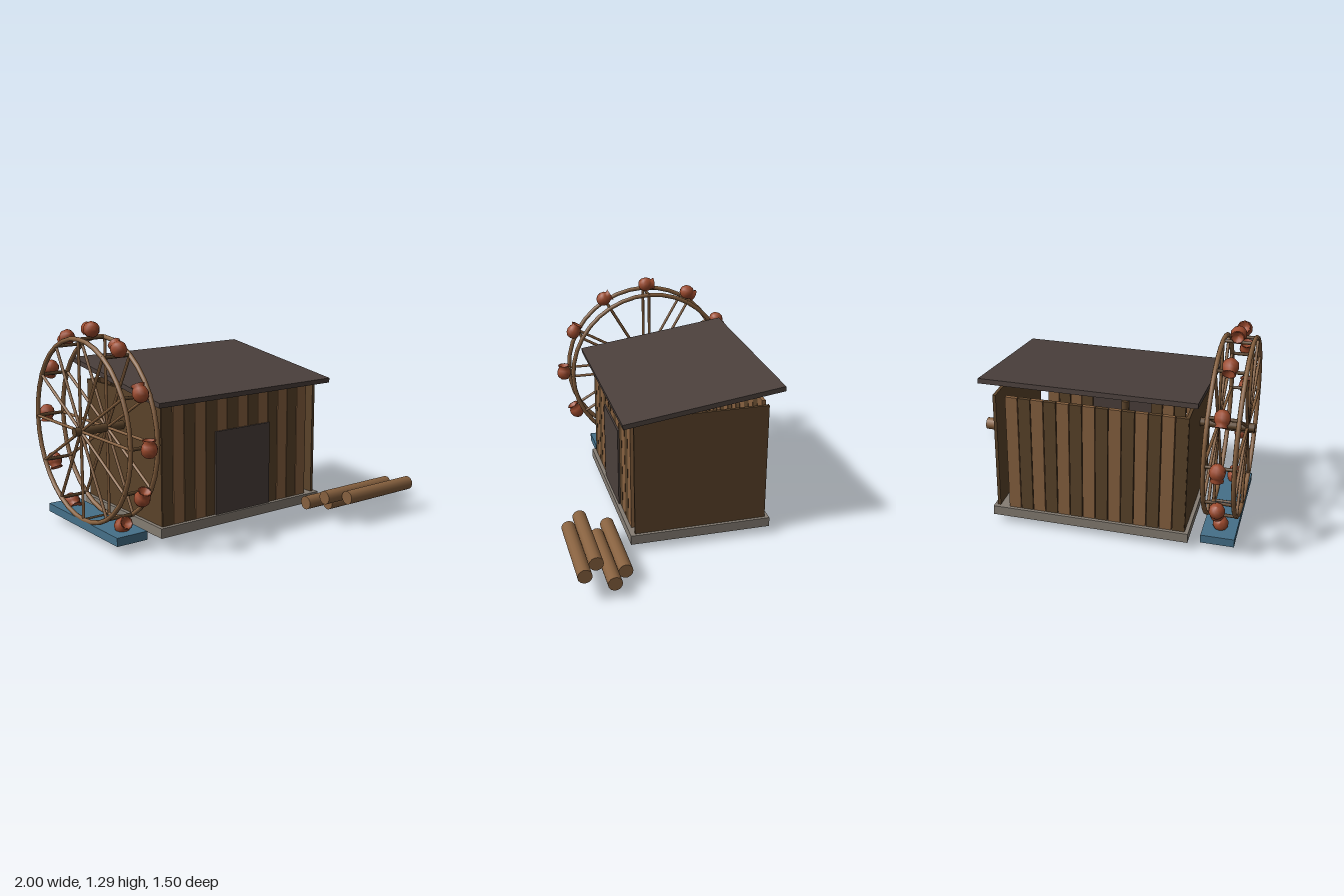
import * as THREE from 'three';

const mat = (name, color, side = THREE.FrontSide) => {
  const m = new THREE.MeshStandardMaterial({ color, side });
  m.name = name;
  return m;
};

export function createModel() {
  const wood = mat('light wood', 0x87613f);
  const darkWood = mat('dark wood', 0x5b432a);
  const slate = mat('roof brown', 0x4b403c);
  const stone = mat('stone', 0x857d73);
  const water = mat('water blue', 0x457089);
  const clay = mat('clay', 0x9c4a2d, THREE.DoubleSide);

  const model = new THREE.Group();
  model.name = 'waterMill';

  const add = (parent, name, geometry, material, x = 0, y = 0, z = 0) => {
    const mesh = new THREE.Mesh(geometry, material);
    mesh.name = name;
    mesh.position.set(x, y, z);
    parent.add(mesh);
    return mesh;
  };
  // Box given by its lower and upper limits
  const box = (parent, name, material, [x0, x1], [y0, y1], [z0, z1]) =>
    add(parent, name, new THREE.BoxGeometry(x1 - x0, y1 - y0, z1 - z0), material,
      (x0 + x1) / 2, (y0 + y1) / 2, (z0 + z1) / 2);
  // Cylinder lying along x
  const rod = (parent, name, material, radius, x0, x1, y, z, sides = 12) => {
    const geometry = new THREE.CylinderGeometry(radius, radius, x1 - x0, sides).rotateZ(Math.PI / 2);
    return add(parent, name, geometry, material, (x0 + x1) / 2, y, z);
  };

  // Hut: foundation, side walls, door and roof
  const hut = new THREE.Group();
  hut.name = 'hut';
  model.add(hut);
  box(hut, 'foundation', stone, [-0.69, 0.545], [0.05, 0.11], [-0.546, 0.342]);
  box(hut, 'rightWall', darkWood, [-0.667, -0.648], [0.11, 0.87], [-0.52, 0.312]);
  box(hut, 'leftWall', darkWood, [0.506, 0.525], [0.11, 0.87], [-0.52, 0.312]);
  box(hut, 'door', slate, [-0.28, 0.137], [0.11, 0.63], [0.312, 0.328]);
  const roof = add(hut, 'roof', new THREE.BoxGeometry(1.305, 0.03, 0.995), slate, -0.072, 0.923, -0.105);
  roof.rotation.x = 0.138;

  // Planks of the front and back walls, in alternating tones
  for (let i = 0; i < 14; i++) {
    const x = -0.626 + i * 0.0795;
    const tone = i % 2 ? wood : darkWood;
    const span = [x - 0.0375, x + 0.0375];
    const overDoor = i >= 5 && i <= 9;
    box(hut, 'frontPlank', tone, span, [overDoor ? 0.62 : 0.11, 0.86], [0.292, 0.317]);
    box(hut, 'backPlank', tone, span, [0.11, 0.87], [-0.525, -0.5]);
  }

  // Post inside the hut
  add(hut, 'millPost', new THREE.CylinderGeometry(0.025, 0.025, 0.62, 10), darkWood, -0.19, 0.42, -0.1);

  // Water wheel, built around its axle
  const wheel = new THREE.Group();
  wheel.name = 'waterWheel';
  wheel.position.set(-0.865, 0.648, -0.103);
  model.add(wheel);
  const ringRadius = 0.547;
  const ringX = 0.089;
  rod(wheel, 'axle', darkWood, 0.027, -0.135, 0.27, 0, 0);

  const ringGeometry = new THREE.TorusGeometry(ringRadius, 0.0145, 8, 36).rotateY(Math.PI / 2);
  for (const side of [-1, 1]) add(wheel, 'rim', ringGeometry, wood, side * ringX);

  const spokeGeometry = new THREE.CylinderGeometry(0.0095, 0.0095, ringRadius, 8);
  const potProfile = [
    [0, -0.053], [0.026, -0.046], [0.044, -0.025], [0.049, 0], [0.043, 0.023],
    [0.032, 0.038], [0.041, 0.053], [0.032, 0.053], [0.024, 0.038], [0, 0.03],
  ].map(([r, y]) => new THREE.Vector2(r, y));
  const potGeometry = new THREE.LatheGeometry(potProfile, 10).rotateX(-Math.PI / 2);

  // Twelve arms, each with two spokes, a cross bar and a pot
  for (let i = 0; i < 12; i++) {
    const arm = new THREE.Group();
    arm.name = 'wheelArm';
    arm.rotation.x = (i * Math.PI) / 6;
    for (const side of [-1, 1]) add(arm, 'spoke', spokeGeometry, wood, side * ringX, ringRadius / 2);
    rod(arm, 'crossBar', darkWood, 0.0105, -0.1, 0.1, ringRadius, 0, 8);
    add(arm, 'pot', potGeometry, clay, 0, 0.598, 0);
    wheel.add(arm);
  }

  // Trough under the wheel
  box(model, 'trough', water, [-0.967, -0.762], [0.05, 0.102], [-0.52, 0.302]);

  // Stacked logs
  const logs = [[0.34, 0.098, 0.45], [0.45, 0.098, 0.535], [0.34, 0.174, 0.62], [0.45, 0.174, 0.706]];
  for (const [x, y, z] of logs) rod(model, 'log', wood, 0.043, x, x + 0.55, y, z, 14);

  return model;
}
